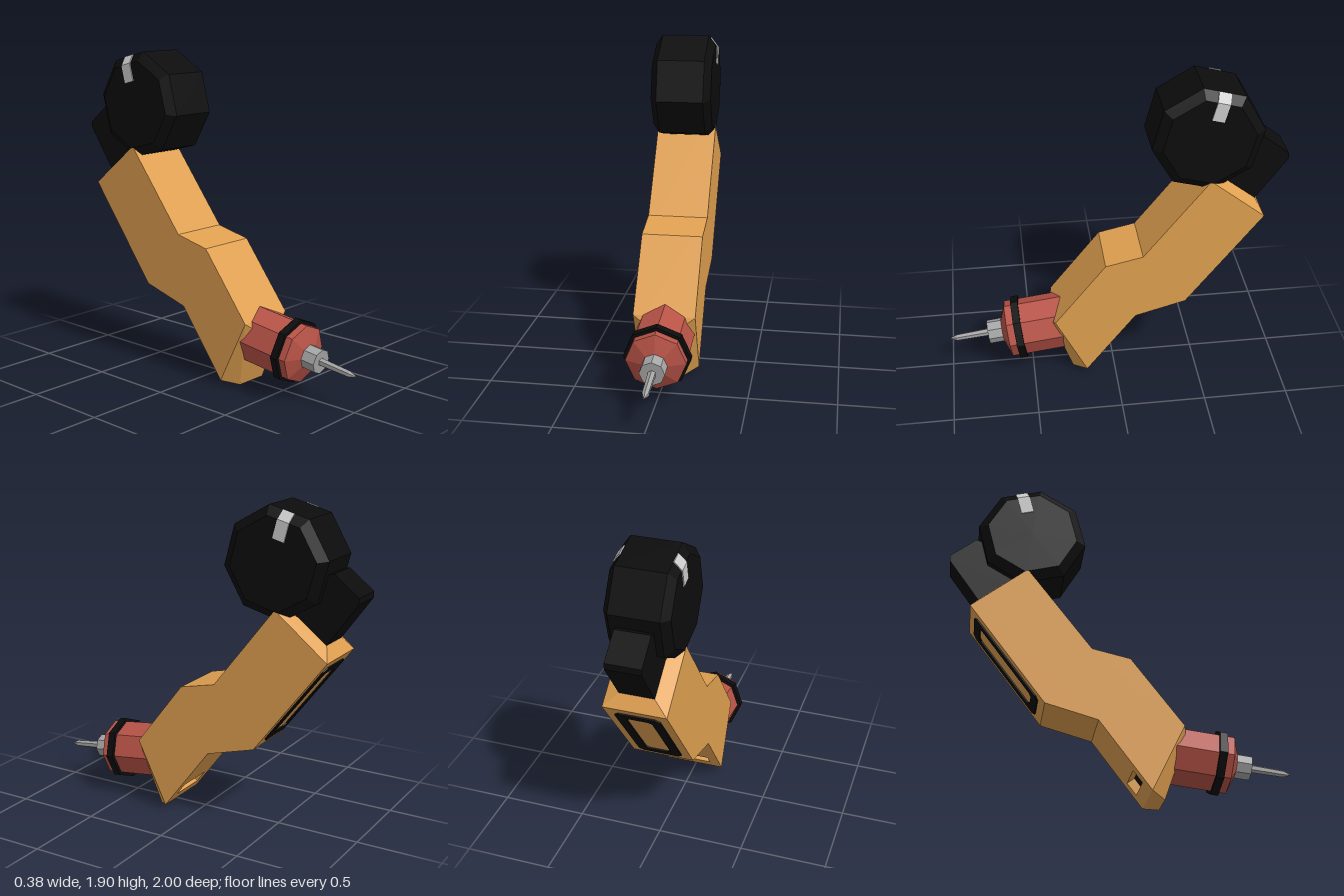
import * as THREE from 'three';
import { ConvexGeometry } from 'three/addons/geometries/ConvexGeometry.js';

const mat = (name, color) => {
  const m = new THREE.MeshStandardMaterial({ color, flatShading: true });
  m.name = name;
  return m;
};

// Extrude a side profile of [z, y] points between two x positions.
function sideExtrude(points, x0, x1) {
  const shape = new THREE.Shape(points.map(([z, y]) => new THREE.Vector2(-z, y)));
  const g = new THREE.ExtrudeGeometry(shape, { depth: x1 - x0, bevelEnabled: false });
  return g.rotateY(Math.PI / 2).translate(x0, 0, 0);
}

// Solid between two mirrored edges: each entry is [half width, z, y].
function frustum(edges) {
  const pts = [];
  for (const [x, z, y] of edges) for (const s of [-1, 1]) pts.push(new THREE.Vector3(s * x, y, z));
  return new ConvexGeometry(pts);
}

const lathe = (profile, sides) =>
  new THREE.LatheGeometry(profile.map(([r, h]) => new THREE.Vector2(r, h)), sides);

// Rectangle with cut corners, centred on the origin.
function cutRect(Target, w, h, c) {
  const a = w / 2, b = h / 2;
  return new Target([[a - c, -b], [a, c - b], [a, b - c], [a - c, b], [c - a, b], [-a, b - c], [-a, c - b], [c - a, -b]]
    .map(([x, y]) => new THREE.Vector2(x, y)));
}

export function createModel() {
  const root = new THREE.Group();
  root.name = 'handTool';
  const orange = mat('orange', 0xe0a050);
  const black = mat('black', 0x0c0c0c);
  const red = mat('red', 0xb85347);
  const steel = mat('steel', 0xa6a6a6);
  const pale = mat('paleGrey', 0xcccccc);

  const add = (name, geometry, material, parent = root) => {
    const mesh = new THREE.Mesh(geometry, material);
    mesh.name = name;
    parent.add(mesh);
    return mesh;
  };

  // Cranked handle; the middle slice carries a slot in its lower back face
  const W = 0.18, slotW = 0.115;
  const outline = [[0.176, 0.03], [0.363, 0.41], [0.06, 0.8], [-0.16, 0.85],
    [-0.54, 1.335], [-0.86, 1.08], [-0.42, 0.505], [-0.12, 0.42]];
  const slotPoint = (along, deep) =>
    [0.176 - 0.605 * along + 0.797 * deep, 0.03 + 0.797 * along + 0.605 * deep];
  const notch = [slotPoint(0.16, 0), slotPoint(0.16, 0.06), slotPoint(0.075, 0.06), slotPoint(0.075, 0)];
  add('handleRight', sideExtrude(outline, -W, -slotW), orange);
  add('handleMiddle', sideExtrude([...outline, ...notch], -slotW, slotW), orange);
  add('handleLeft', sideExtrude(outline, slotW, W), orange);
  add('slotFloor', sideExtrude([slotPoint(0.075, 0.052), slotPoint(0.16, 0.052),
    slotPoint(0.16, 0.06), slotPoint(0.075, 0.06)], -slotW, slotW), black);

  // Bevelled ends of the handle
  add('handleNose', frustum([[W, 0.363, 0.41], [W, 0.176, 0.03], [0.1, 0.385, 0.357], [0.1, 0.257, 0.002]]), orange);
  add('handleTop', frustum([[W, -0.54, 1.335], [W, -0.86, 1.08], [0.1, -0.647, 1.29], [0.1, -0.818, 1.157]]), orange);

  // Flat frame on the upper back face
  const frame = cutRect(THREE.Shape, 0.256, 0.615, 0.025);
  frame.holes.push(cutRect(THREE.Path, 0.145, 0.505, 0.02));
  const panel = add('backFrame', new THREE.ExtrudeGeometry(frame, { depth: 0.008, bevelEnabled: false }), black);
  panel.quaternion.setFromRotationMatrix(new THREE.Matrix4().makeBasis(
    new THREE.Vector3(-1, 0, 0), new THREE.Vector3(0, 0.794, -0.608), new THREE.Vector3(0, -0.608, -0.794)));
  panel.position.set(0, 0.7925, -0.64);

  // Neck between handle and knob
  add('neck', sideExtrude([[-0.63, 1.27], [-0.815, 1.155], [-0.995, 1.405], [-0.995, 1.44],
    [-0.85, 1.555], [-0.81, 1.545], [-0.6, 1.6]], -0.1, 0.1), black);

  // Eight-sided knob with a pale mark on each side
  const knobGroup = new THREE.Group();
  knobGroup.name = 'knobGroup';
  knobGroup.position.set(0, 1.583, -0.52);
  root.add(knobGroup);
  const knob = add('knob', lathe([[0, -0.18], [0.265, -0.18], [0.32, -0.14], [0.32, 0.14], [0.265, 0.18], [0, 0.18]], 8), black, knobGroup);
  knob.rotation.set(0.134, 0, Math.PI / 2);
  for (const s of [-1, 1]) {
    const strip = new THREE.Shape([[0.175, 0.14], [0.186, 0.14], [0.186, 0.248], [0.146, 0.299], [0.138, 0.294], [0.175, 0.24]]
      .map(([x, y]) => new THREE.Vector2(s * x, y)));
    const g = new THREE.ExtrudeGeometry(strip, { depth: 0.072, bevelEnabled: false }).translate(0, 0, -0.036);
    add(s > 0 ? 'knobMarkLeft' : 'knobMarkRight', g, pale, knobGroup).rotation.x = -0.258;
  }

  // Tool head: local y runs forward along the tilted axis
  const head = new THREE.Group();
  head.name = 'toolHead';
  head.position.set(0, 0.262, 0.578);
  head.rotation.x = Math.PI / 2 + 0.126;
  root.add(head);
  add('headBody', lathe([[0, -0.35], [0.172, -0.35], [0.172, 0.065], [0.07, 0.103], [0, 0.103]], 8), red, head);
  add('headRing', new THREE.CylinderGeometry(0.192, 0.192, 0.045, 8), black, head);
  add('nut', lathe([[0, 0.08], [0.072, 0.08], [0.072, 0.19], [0, 0.19]], 8), steel, head);
  add('bit', lathe([[0, 0.18], [0.024, 0.18], [0.02, 0.385], [0.005, 0.425], [0, 0.425]], 6), steel, head);

  return root;
}
